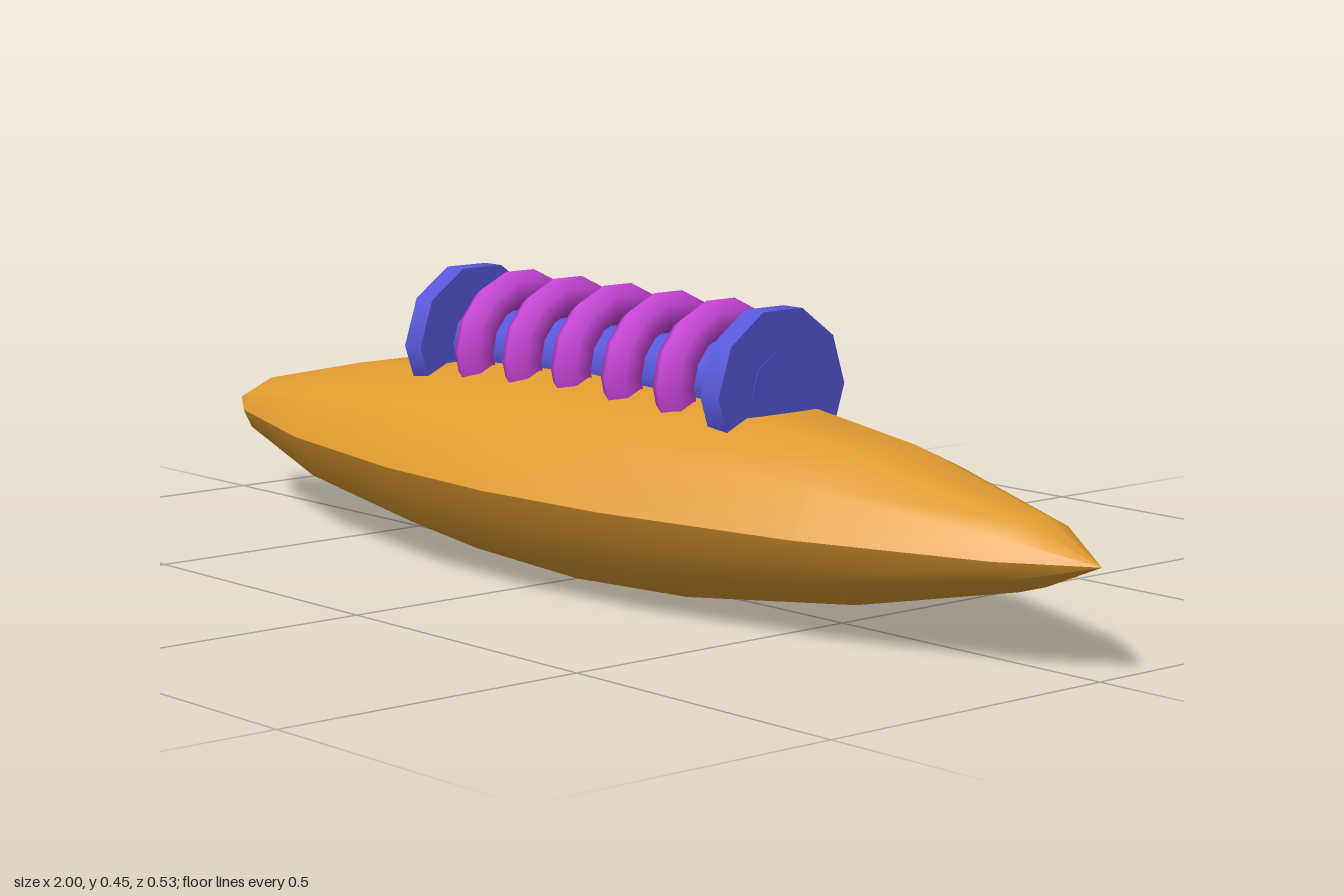
import * as THREE from 'three';

const AXLE_Y = 0.324;

export function createModel() {
  const group = new THREE.Group();
  const orange = new THREE.MeshStandardMaterial({ color: 0xe09b30 });
  orange.name = 'orange';
  const blue = new THREE.MeshStandardMaterial({ color: 0x5858dc });
  blue.name = 'blue';
  const magenta = new THREE.MeshStandardMaterial({ color: 0xc844d8 });
  magenta.name = 'magenta';

  const add = (name, geometry, material, x, y) => {
    const mesh = new THREE.Mesh(geometry, material);
    mesh.name = name;
    mesh.position.set(x, y, 0);
    group.add(mesh);
  };

  // Spindle body: ten-sided, pointed at both ends, flattened in height
  const half = [[1, 0], [0.875, 0.315], [0.587, 0.695], [0.25, 0.94]];
  const profile = [
    ...half.map(([x, r]) => new THREE.Vector2(r, -x)),
    new THREE.Vector2(1, 0),
    ...half.slice().reverse().map(([x, r]) => new THREE.Vector2(r, x)),
  ];
  const body = new THREE.LatheGeometry(profile, 10);
  body.rotateZ(Math.PI / 2);
  body.scale(1, 0.165, 0.266);
  body.computeVertexNormals(); // leaves a crease along the front seam
  add('body', body, orange, 0, 0.157);

  // Axle with a flange at each end, lying along x
  const rod = (radius, length) =>
    new THREE.CylinderGeometry(radius, radius, length, 10).rotateZ(Math.PI / 2);
  add('axle', rod(0.06, 0.742), blue, 0, AXLE_Y);
  for (const side of [-1, 1]) {
    add(side > 0 ? 'leftFlange' : 'rightFlange', rod(0.125, 0.04), blue, side * 0.35, AXLE_Y);
  }

  // Five coil rings around the axle
  for (let i = -2; i <= 2; i++) {
    const ring = new THREE.TorusGeometry(0.093, 0.032, 6, 14).rotateY(Math.PI / 2);
    add('coilRing' + (i + 3), ring, magenta, i * 0.1175, AXLE_Y);
  }
  return group;
}
